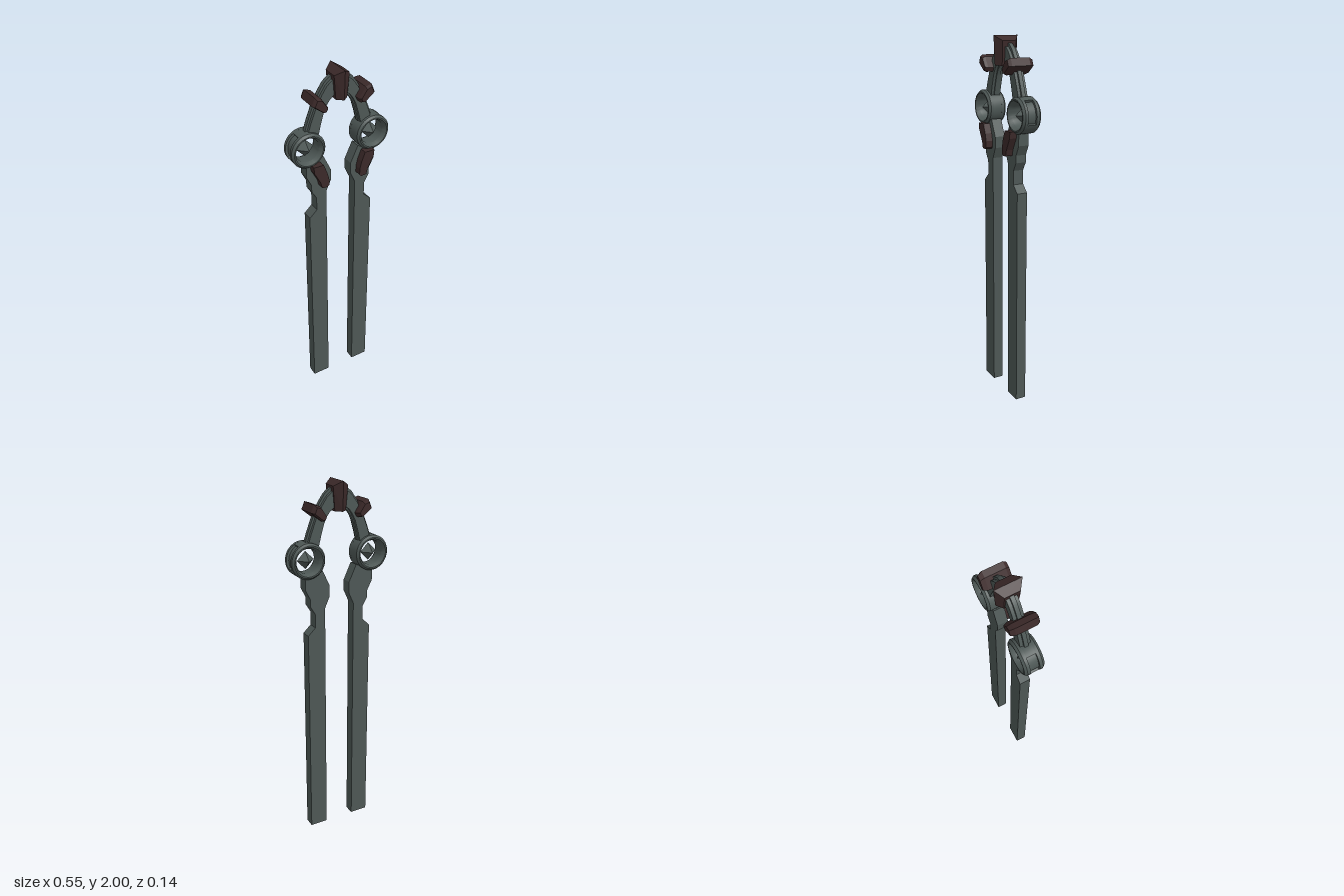
import * as THREE from 'three';
import { toCreasedNormals } from 'three/addons/utils/BufferGeometryUtils.js';
import { ConvexGeometry } from 'three/addons/geometries/ConvexGeometry.js';

const steel = new THREE.MeshStandardMaterial({ color: 0x4d5755 });
steel.name = 'grey steel';
const brown = new THREE.MeshStandardMaterial({ color: 0x3b2929 });
brown.name = 'dark brown';

const RING = [0.184, 1.616, -0.004];

function mesh(name, geometry, material) {
  const m = new THREE.Mesh(geometry, material);
  m.name = name;
  return m;
}

// flat outline extruded from z0 to z1
function plate(points, z0, z1, side = 1) {
  const shape = new THREE.Shape(points.map(([x, y]) => new THREE.Vector2(x * side, y)));
  const g = new THREE.ExtrudeGeometry(shape, { depth: z1 - z0, bevelEnabled: false });
  return g.translate(0, 0, z0);
}

// convex block from layers of [outline, z, scale about the outline's middle]
function block(outline, layers, side = 1) {
  const cx = outline.reduce((s, p) => s + p[0], 0) / outline.length;
  const cy = outline.reduce((s, p) => s + p[1], 0) / outline.length;
  const pts = [];
  for (const [z, k] of layers)
    for (const [x, y] of outline)
      pts.push(new THREE.Vector3(side * (cx + (x - cx) * k), cy + (y - cy) * k, z));
  return new ConvexGeometry(pts);
}

// arch band, inset from the full outline by the given scales
function archBand(outerScale, innerScale, z0, z1) {
  const curve = (pts, k) => new THREE.SplineCurve(
    pts.map(([x, y]) => new THREE.Vector2(x * k, 1.69 + (y - 1.69) * k))
  ).getPoints(14).map((p) => [p.x, p.y]);
  const both = (half) => [...half.slice(1).reverse().map(([x, y]) => [-x, y]), ...half];
  const outer = both([[0, 1.975], [0.048, 1.96], [0.09, 1.92], [0.148, 1.815], [0.192, 1.69]]);
  const inner = both([[0, 1.87], [0.03, 1.86], [0.06, 1.835], [0.088, 1.78], [0.113, 1.685]]);
  const g = plate([...curve(outer, outerScale), ...curve(inner, innerScale).reverse()], z0, z1);
  return toCreasedNormals(g, 0.5);
}

function ring(side) {
  const group = new THREE.Group();
  group.name = side > 0 ? 'leftRing' : 'rightRing';
  group.position.set(RING[0] * side, RING[1], RING[2]);

  // bevelled body with a groove around its rim
  const half = [[0.08, 0.024], [0.093, 0.024], [0.093, 0.04], [0.083, 0.052], [0.076, 0.052], [0.064, 0.03]];
  const profile = [
    ...half.slice().reverse().map(([r, z]) => [r, -z]), ...half, [0.064, -0.03],
  ].map(([r, z]) => new THREE.Vector2(r, z));
  const body = new THREE.LatheGeometry(profile, 40).rotateX(Math.PI / 2);
  group.add(mesh('ringBody', toCreasedNormals(body, 0.5), steel));

  // fills the groove everywhere but the outer slot
  const arc = (r) => Array.from({ length: 31 }, (_, i) => {
    const a = THREE.MathUtils.degToRad(60 + (275 * i) / 30);
    return [r * Math.cos(a), r * Math.sin(a)];
  });
  const filler = plate([...arc(0.0928), ...arc(0.078).reverse()], -0.0245, 0.0245, side);
  group.add(mesh('rimFiller', toCreasedNormals(filler, 0.5), steel));

  // diamond stud in the opening
  group.add(mesh('diamondStud', new THREE.OctahedronGeometry(0.047), steel));
  return group;
}

export function createModel() {
  const model = new THREE.Group();
  model.name = 'hairClasp';

  // stepped arch: wide band with a proud rib
  model.add(mesh('archBand', archBand(0.94, 1.05, -0.031, 0.023), steel));
  model.add(mesh('archRib', archBand(1, 1, -0.014, 0.007), steel));

  // keystone with a roof ridge and pointed front and back
  const keystone = [];
  for (const s of [-1, 1]) {
    keystone.push(new THREE.Vector3(0, 2, s * 0.069), new THREE.Vector3(0, 1.85, s * 0.062));
    for (const x of [-1, 1])
      keystone.push(new THREE.Vector3(x * 0.042, 1.975, s * 0.039), new THREE.Vector3(x * 0.031, 1.85, s * 0.036));
  }
  model.add(mesh('keystone', new ConvexGeometry(keystone), brown));

  const legOutline = [
    [0.085, 0], [0.185, 0], [0.185, 1.21], [0.143, 1.25], [0.143, 1.325], [0.17, 1.37],
    [0.17, 1.41], [0.197, 1.463], [0.197, 1.535], [0.15, 1.54], [0.1, 1.56],
    [0.058, 1.47], [0.058, 1.41], [0.085, 1.35],
  ];
  const clampOutline = [[0.171, 1.858], [0.154, 1.897], [0.122, 1.887], [0.085, 1.833], [0.095, 1.812], [0.11, 1.81]];
  const inlayOutline = [
    [0.175, 1.535], [0.12, 1.535], [0.1, 1.485], [0.09, 1.445], [0.09, 1.41],
    [0.1, 1.4], [0.13, 1.403], [0.138, 1.436], [0.172, 1.5],
  ];

  for (const side of [1, -1]) {
    const name = side > 0 ? 'left' : 'right';
    model.add(mesh(name + 'Leg', plate(legOutline, -0.027, 0.031, side), steel));
    model.add(ring(side));
    model.add(mesh(name + 'Clamp', block(clampOutline, [[-0.073, 0.75], [-0.05, 1], [0.055, 1], [0.071, 0.8]], side), brown));
    model.add(mesh(name + 'Inlay', plate(inlayOutline, 0.029, 0.07, side), brown));
  }
  return model;
}
